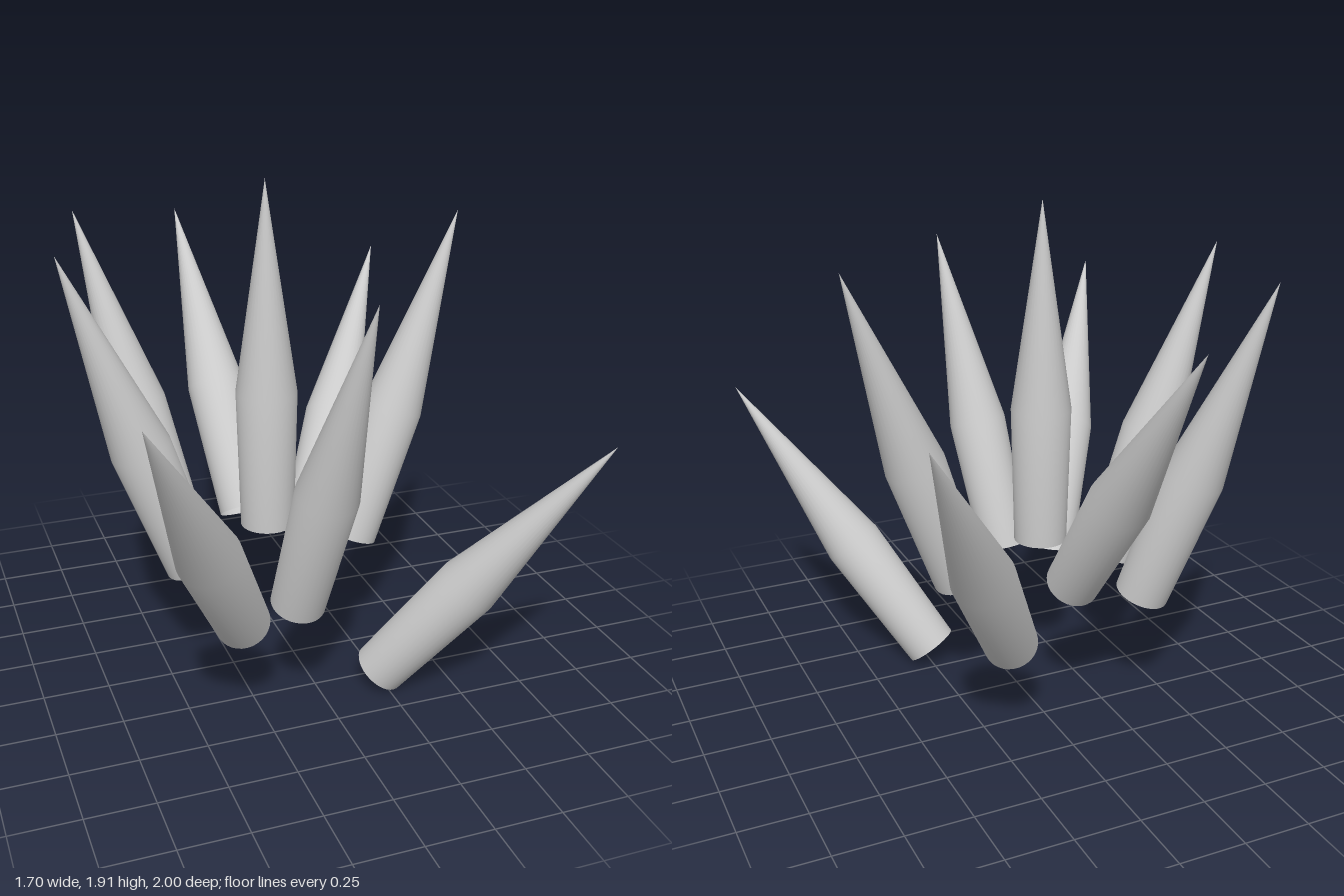
import * as THREE from 'three';

const LENGTH = 1.31;

// Hollow shaft that widens to a shoulder, then narrows to a sharp point
const profile = [[0.101, 0], [0.114, 0.53], [0, LENGTH]].map(([r, y]) => new THREE.Vector2(r, y));

// Name, centre of the open base, tip
const spikes = [
  ['centreSpike', [-0.11, 0.60, 0.02], [-0.11, 1.91, 0.02]],
  ['frontSpike', [-0.11, 0.43, 0.36], [0.00, 1.66, 0.78]],
  ['backSpike', [-0.11, 0.53, -0.26], [-0.17, 1.60, -1.00]],
  ['leftSpike', [0.23, 0.495, 0.02], [0.67, 1.73, -0.05]],
  ['rightSpike', [-0.41, 0.475, 0.02], [-0.85, 1.70, 0.02]],
  ['frontLeftSpike', [0.24, 0.06, 0.32], [0.85, 1.10, 0.85]],
  ['frontRightSpike', [-0.32, 0.39, 0.36], [-0.80, 1.44, 1.00]],
  ['backLeftSpike', [0.16, 0.355, -0.30], [0.69, 1.39, -0.91]],
  ['backRightSpike', [-0.37, 0.467, -0.325], [-0.66, 1.70, -0.66]],
];

export function createModel() {
  const group = new THREE.Group();
  group.name = 'spikeCluster';
  const material = new THREE.MeshStandardMaterial({ color: 0xcccccc, side: THREE.DoubleSide });
  const geometry = new THREE.LatheGeometry(profile, 32);
  const up = new THREE.Vector3(0, 1, 0);

  // Stand each spike on its base and aim it at its tip
  for (const [name, base, tip] of spikes) {
    const spike = new THREE.Mesh(geometry, material);
    spike.name = name;
    spike.position.set(...base);
    const axis = new THREE.Vector3(...tip).sub(spike.position);
    spike.scale.y = axis.length() / LENGTH;
    spike.quaternion.setFromUnitVectors(up, axis.normalize());
    group.add(spike);
  }
  return group;
}
